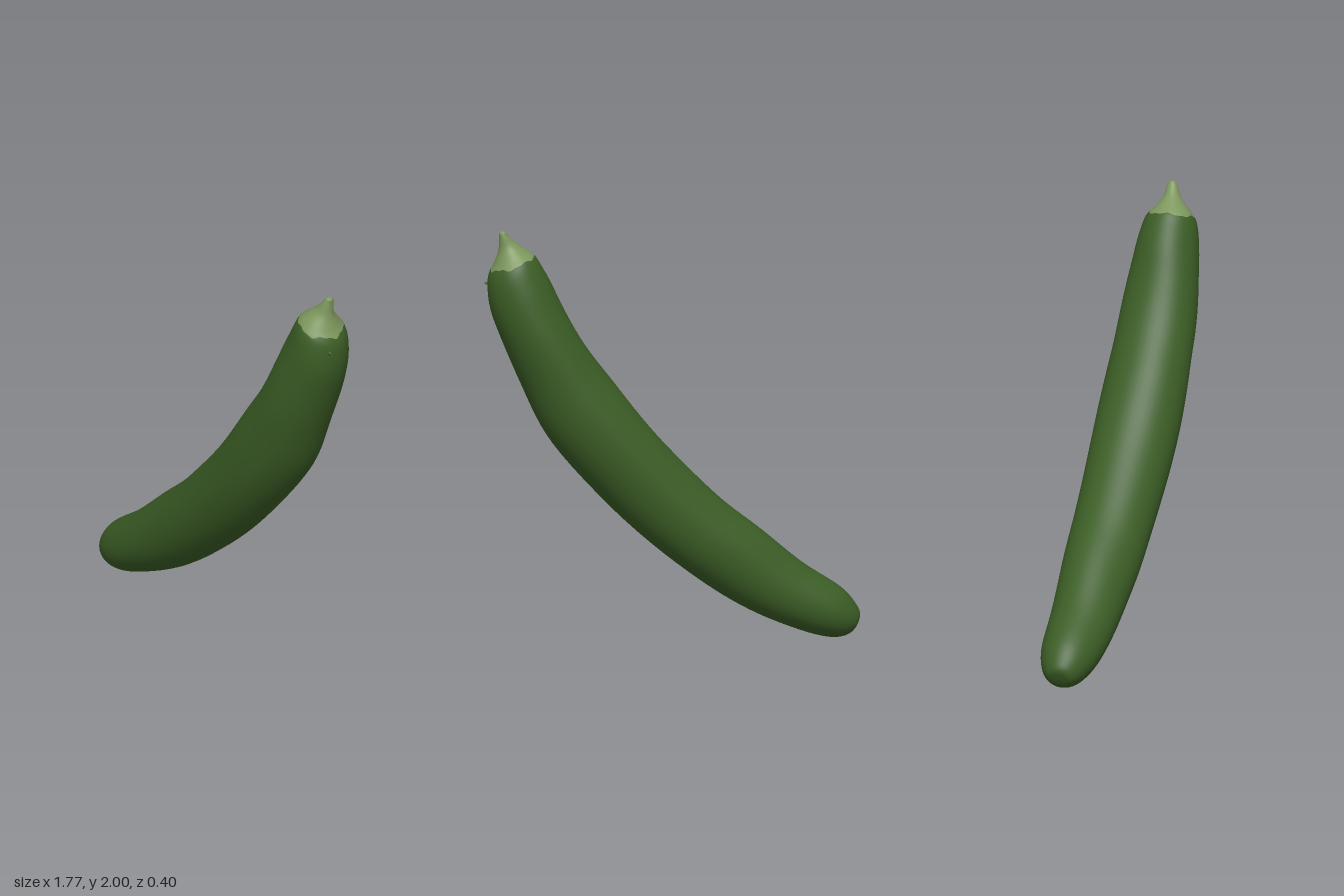
import * as THREE from 'three';

// Cross-sections: inner edge x, y, outer edge x, y, centre z, half width in z
const SECTIONS = [
  [-0.865, 0.06, -0.865, 0.06, 0, 0],
  [-0.882, 0.11, -0.835, 0.02, 0, 0.055],
  [-0.86, 0.16, -0.78, 0.002, 0, 0.092],
  [-0.8, 0.23, -0.68, 0.015, 0, 0.127],
  [-0.6, 0.37, -0.47, 0.095, 0, 0.155],
  [-0.39, 0.55, -0.22, 0.235, -0.005, 0.172],
  [-0.2, 0.71, 0.0, 0.4, -0.007, 0.184],
  [0.05, 0.97, 0.3, 0.675, -0.007, 0.194],
  [0.27, 1.25, 0.58, 1.0, -0.007, 0.195],
  [0.4, 1.42, 0.71, 1.26, -0.005, 0.184],
  [0.52, 1.63, 0.81, 1.49, -0.007, 0.165],
  [0.6, 1.79, 0.865, 1.66, -0.007, 0.143],
  [0.655, 1.88, 0.868, 1.78, -0.003, 0.117],
  [0.69, 1.905, 0.84, 1.845, 0, 0.085],
  [0.745, 1.945, 0.822, 1.905, -0.005, 0.043],
  [0.783, 1.985, 0.82, 1.965, -0.012, 0.025],
  [0.79, 1.996, 0.82, 1.993, -0.014, 0.017],
  [0.805, 2.0, 0.805, 2.0, -0.014, 0],
];
const LAST = SECTIONS.length - 1;
const SIDES = 48, BODY_ROWS = 72, STEM_ROWS = 24;

const spline = (pick) => new THREE.CatmullRomCurve3(SECTIONS.map((s) => new THREE.Vector3(...pick(s))));
const inner = spline((s) => [s[0], s[1], s[4]]);
const outer = spline((s) => [s[2], s[3], s[4]]);
const width = spline((s) => [s[5], s[0], s[1]]);

// Ragged line where the skin meets the stem, in section units
const seam = (a) => 12.28 - 0.22 * Math.cos(a) + 0.1 * Math.sin(5 * a + 1) + 0.06 * Math.sin(11 * a);

// Soft lumps, and a shallow dent along the front
function relief(u, a) {
  const mid = THREE.MathUtils.smoothstep(u, 2, 4) * (1 - THREE.MathUtils.smoothstep(u, 10, 12));
  const lumps = 0.012 * Math.sin(3 * a + u * 0.6) + 0.008 * Math.sin(u * 3.1 + 2 * a);
  const dent = 0.035 * Math.exp(-((u - 8.3) ** 2) / 0.6 - ((a - 1.9) ** 2) / 0.06);
  return 1 + mid * (lumps - dent);
}

function surfacePoint(u, a) {
  const t = Math.min(u / LAST, 1);
  const p = inner.getPoint(t), q = outer.getPoint(t);
  const half = p.clone().sub(q).multiplyScalar(0.5);
  const r = relief(u, a);
  const point = p.add(q).multiplyScalar(0.5).addScaledVector(half, Math.cos(a) * r);
  point.z += Math.sin(a) * r * Math.max(width.getPoint(t).x, 0);
  return point;
}

export function createModel() {
  const group = new THREE.Group();
  group.name = 'cucumber';
  const skin = new THREE.MeshStandardMaterial({ color: 0x3c5e26 });
  skin.name = 'dark green skin';
  const pale = new THREE.MeshStandardMaterial({ color: 0x7c965c });
  pale.name = 'pale green stem';

  // One continuous grid, so skin and stem share smooth normals
  const positions = [], index = [];
  const rows = BODY_ROWS + STEM_ROWS;
  for (let i = 0; i <= rows; i++) {
    for (let j = 0; j < SIDES; j++) {
      const a = (j / SIDES) * Math.PI * 2, s = seam(a);
      const u = i <= BODY_ROWS ? (s * i) / BODY_ROWS : s + ((LAST - s) * (i - BODY_ROWS)) / STEM_ROWS;
      positions.push(...surfacePoint(u, a).toArray());
      if (i === rows) continue;
      const k = (j + 1) % SIDES;
      const A = i * SIDES + j, B = i * SIDES + k, C = B + SIDES, D = A + SIDES;
      index.push(A, B, C, A, C, D);
    }
  }
  const whole = new THREE.BufferGeometry();
  whole.setAttribute('position', new THREE.Float32BufferAttribute(positions, 3));
  whole.setIndex(index);
  whole.computeVertexNormals();

  const addPart = (name, faces, material) => {
    const geometry = new THREE.BufferGeometry();
    geometry.setAttribute('position', whole.attributes.position);
    geometry.setAttribute('normal', whole.attributes.normal);
    geometry.setIndex(faces);
    const mesh = new THREE.Mesh(geometry, material);
    mesh.name = name;
    group.add(mesh);
  };
  const split = BODY_ROWS * SIDES * 6;
  addPart('body', index.slice(0, split), skin);
  addPart('stem', index.slice(split), pale);

  // Small wart near the stem
  const wart = new THREE.Mesh(new THREE.ConeGeometry(0.017, 0.035, 10), skin);
  wart.name = 'wart';
  wart.position.set(0.867, 1.745, 0.03);
  wart.rotation.z = -Math.PI / 2;
  group.add(wart);
  return group;
}
